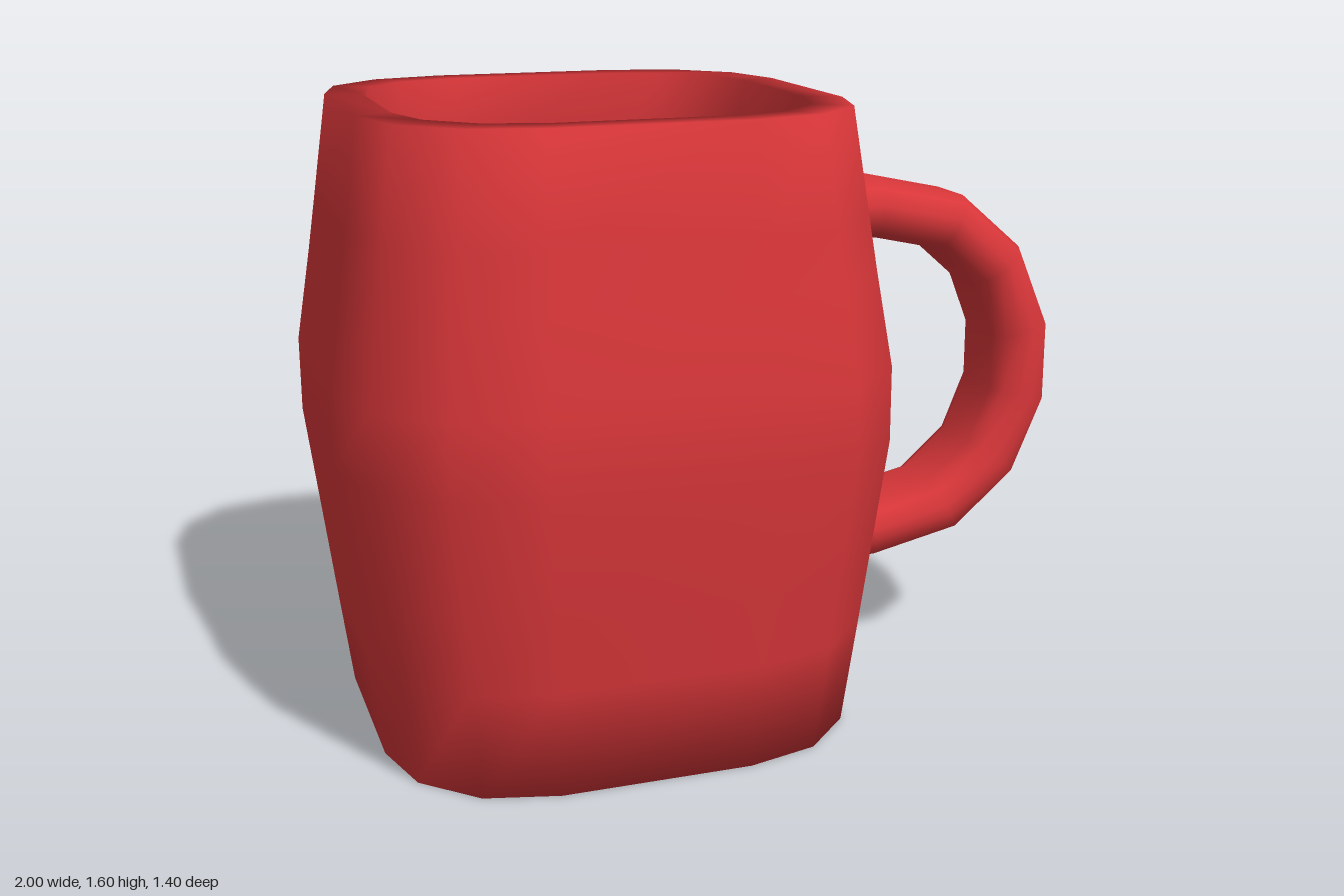
import * as THREE from 'three';

// Smooth skin over a list of closed rings of [x, y, z] points, optionally capped at both ends
function loft(rings, capped) {
  const n = rings[0].length;
  const index = [];
  for (let i = 0; i < rings.length - 1; i++) {
    for (let j = 0; j < n; j++) {
      const a = i * n + j, b = i * n + (j + 1) % n;
      index.push(a, a + n, b, b, a + n, b + n);
    }
  }
  if (capped) {
    const last = (rings.length - 1) * n;
    for (let i = 0; i < n / 2 - 1; i++) {
      const a = i, b = i + 1, c = n - 2 - i, d = n - 1 - i;
      index.push(a, b, c, a, c, d);
      index.push(last + a, last + c, last + b, last + a, last + d, last + c);
    }
  }
  const geometry = new THREE.BufferGeometry();
  geometry.setAttribute('position', new THREE.Float32BufferAttribute(rings.flat(2), 3));
  geometry.setIndex(index);
  geometry.computeVertexNormals();
  return geometry;
}

// Sixteen-sided rounded square around the mug axis
function roundedSquare(half, y) {
  const side = [[1, -0.4], [1, 0.4], [0.92, 0.705], [0.705, 0.92]];
  const ring = [];
  for (let k = 0; k < 4; k++) {
    const c = Math.round(Math.cos(k * Math.PI / 2)), s = Math.round(Math.sin(k * Math.PI / 2));
    for (const [u, v] of side) {
      ring.push([-0.3 + half * (u * c - v * s), y, half * (u * s + v * c)]);
    }
  }
  return ring;
}

export function createModel() {
  const group = new THREE.Group();
  const red = new THREE.MeshStandardMaterial({ color: 0xd83639 });
  red.name = 'red glaze';

  // Body: up the outside, over the rim and down the inside, as [half width, y]
  const profile = [
    [0.605, 0], [0.64, 0.28], [0.662, 0.46], [0.7, 0.77], [0.7, 0.96], [0.662, 1.2], [0.643, 1.33], [0.605, 1.595],
    [0.515, 1.595], [0.56, 1.33], [0.61, 0.96], [0.61, 0.77], [0.56, 0.32], [0.52, 0.1],
  ];
  const body = new THREE.Mesh(loft(profile.map(([h, y]) => roundedSquare(h, y)), true), red);
  body.name = 'body';
  group.add(body);

  // Handle: matching outer and inner edges of the loop, mirrored about its middle height
  const middle = 0.83;
  const upper = [
    [[0.32, 1.355], [0.32, 1.2]],
    [[0.48, 1.355], [0.48, 1.2]],
    [[0.735, 1.3], [0.66, 1.16]],
    [[0.91, 1.15], [0.78, 1.055]],
    [[1, 0.94], [0.84, 0.905]],
  ];
  const lower = upper.map(pair => pair.map(([x, y]) => [x, 2 * middle - y])).reverse();
  // Cross-section: [z, share of the way from outer to inner edge]
  const section = [
    [0.075, 0], [-0.075, 0], [-0.12, 0.12], [-0.138, 0.4], [-0.138, 0.6], [-0.12, 0.88],
    [-0.075, 1], [0.075, 1], [0.12, 0.88], [0.138, 0.6], [0.138, 0.4], [0.12, 0.12],
  ];
  const rings = [...upper, ...lower].map(([o, i]) => section.map(([z, t]) => [
    o[0] + (i[0] - o[0]) * t, o[1] + (i[1] - o[1]) * t, z,
  ]));
  const handle = new THREE.Mesh(loft(rings, false), red);
  handle.name = 'handle';
  group.add(handle);

  return group;
}
